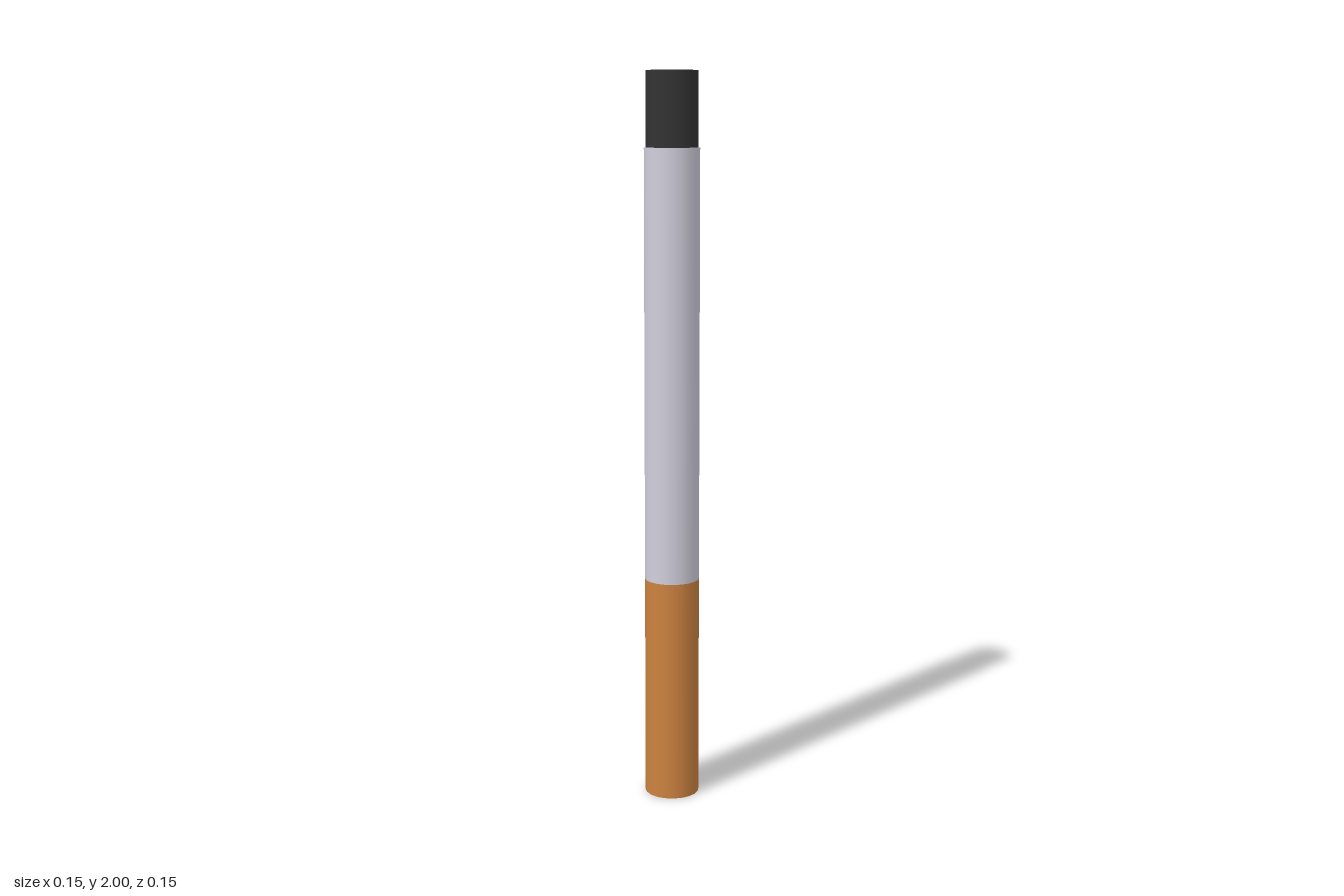
import * as THREE from 'three';

const SIDES = 20;

export function createModel() {
  const group = new THREE.Group();
  const material = (name, color) => new THREE.MeshStandardMaterial({ name, color });
  const paper = material('pale paper', 0xd0cedb);
  const cork = material('cork orange', 0xcc8240);
  const ash = material('charcoal', 0x333333);

  // Upright cylinder; material order is side, top, bottom
  const section = (name, radius, bottom, top, materials, open = false) => {
    const geometry = new THREE.CylinderGeometry(radius, radius, top - bottom, SIDES, 1, open);
    const mesh = new THREE.Mesh(geometry, materials);
    mesh.name = name;
    mesh.position.y = (top + bottom) / 2;
    group.add(mesh);
  };

  // Cork wrap with a pale end face
  section('filter', 0.075, 0, 0.62, [cork, cork, paper]);
  // Paper tube, closed by the charred shoulder on top
  section('paperTube', 0.075, 0.62, 1.8, [paper, ash, paper]);
  // Narrower burnt tip
  section('burntTip', 0.07, 1.8, 2, ash);

  return group;
}
